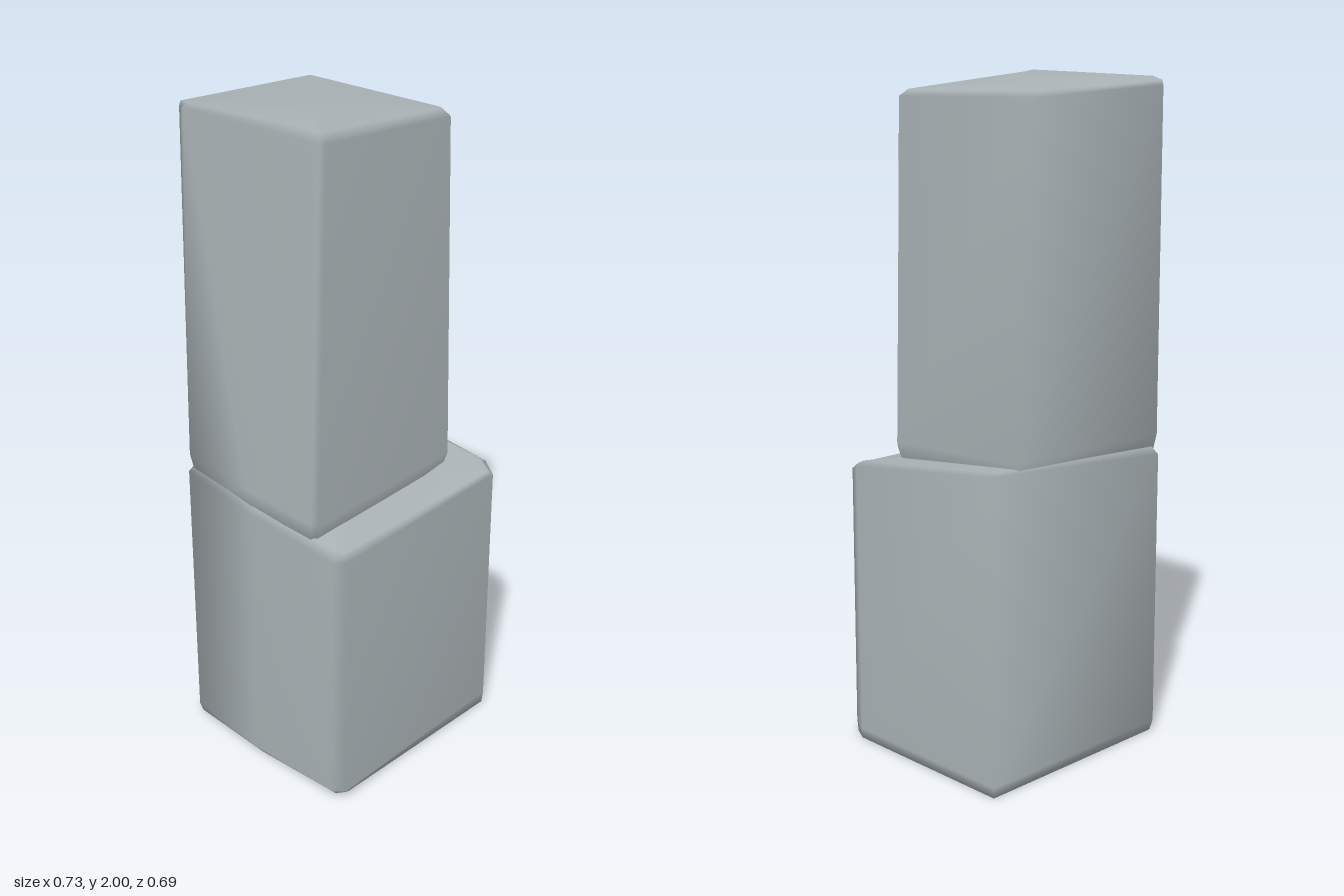
import * as THREE from 'three';

// Closed smooth block skinned through rings of [x, y, z] corners, bottom to top
function block(name, rings, material) {
  const n = rings[0].length;
  const points = rings.flat();
  const index = [];
  for (let r = 0; r < rings.length - 1; r++) {
    for (let i = 0; i < n; i++) {
      const a = r * n + i, b = r * n + (i + 1) % n;
      index.push(a, b, b + n, a, b + n, a + n);
    }
  }
  // Caps fan out from the average of their ring
  const cap = (ring, start, up) => {
    const c = points.length;
    points.push([0, 1, 2].map(k => ring.reduce((s, p) => s + p[k], 0) / n));
    for (let i = 0; i < n; i++) {
      const a = start + i, b = start + (i + 1) % n;
      if (up) index.push(c, a, b); else index.push(c, b, a);
    }
  };
  cap(rings[0], 0, false);
  cap(rings[rings.length - 1], (rings.length - 1) * n, true);

  const geometry = new THREE.BufferGeometry();
  geometry.setAttribute('position', new THREE.Float32BufferAttribute(points.flat(), 3));
  geometry.setIndex(index);
  geometry.computeVertexNormals();
  const mesh = new THREE.Mesh(geometry, material);
  mesh.name = name;
  return mesh;
}

export function createModel() {
  const group = new THREE.Group();
  group.name = 'stackedStones';
  const stone = new THREE.MeshStandardMaterial({ color: 0xa9b2b5 });
  stone.name = 'grey stone';

  // Corner order: back left, left side, front left pair, front right pair, back right
  group.add(block('lowerStone', [
    [[-0.31, 0, -0.29], [-0.33, 0, 0], [-0.33, 0.01, 0.31], [-0.30, 0.01, 0.33],
      [0.335, 0, 0.34], [0.36, 0, 0.29], [0.36, 0, -0.29]],
    [[-0.32, 0.03, -0.295], [-0.36, 0.04, 0], [-0.365, 0.05, 0.32], [-0.33, 0.04, 0.348],
      [0.335, 0.04, 0.345], [0.36, 0.03, 0.29], [0.36, 0.03, -0.29]],
    [[-0.32, 0.88, -0.295], [-0.355, 0.86, 0], [-0.355, 0.83, 0.32], [-0.325, 0.83, 0.345],
      [0.335, 0.84, 0.34], [0.36, 0.86, 0.29], [0.36, 0.935, -0.292]],
    [[-0.30, 0.91, -0.28], [-0.34, 0.89, 0], [-0.34, 0.86, 0.31], [-0.32, 0.855, 0.335],
      [0.32, 0.855, 0.33], [0.34, 0.875, 0.28], [0.34, 0.94, -0.285]],
  ], stone));

  group.add(block('upperStone', [
    [[-0.30, 0.82, -0.27], [-0.335, 0.82, 0], [-0.335, 0.82, 0.22], [-0.32, 0.82, 0.23],
      [0.23, 0.82, 0.21], [0.24, 0.82, 0.19], [0.24, 0.82, -0.27]],
    [[-0.32, 0.94, -0.288], [-0.35, 0.93, -0.02], [-0.352, 0.92, 0.235], [-0.335, 0.91, 0.248],
      [0.25, 0.91, 0.23], [0.265, 0.93, 0.215], [0.265, 0.95, -0.29]],
    [[-0.25, 1.96, -0.345], [-0.278, 1.97, -0.30], [-0.272, 1.97, 0.20], [-0.262, 1.97, 0.212],
      [0.255, 1.93, 0.195], [0.267, 1.93, 0.18], [0.267, 1.935, -0.343]],
    [[-0.245, 1.975, -0.345], [-0.27, 1.985, -0.29], [-0.268, 2, 0.185], [-0.25, 1.995, 0.195],
      [0.245, 1.95, 0.165], [0.265, 1.947, 0.15], [0.265, 1.95, -0.343]],
  ], stone));

  return group;
}
